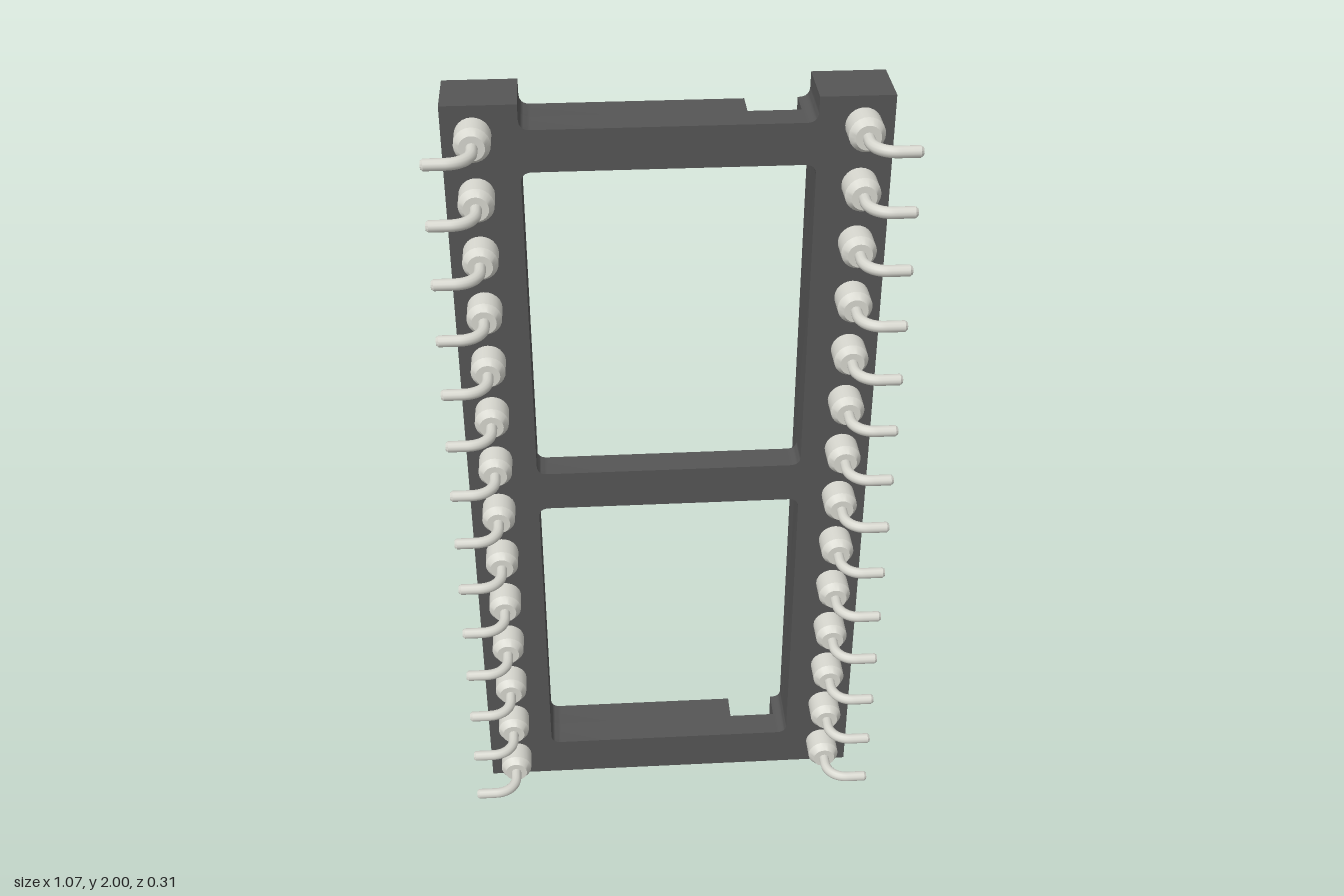
import * as THREE from 'three';
import { toCreasedNormals } from 'three/addons/utils/BufferGeometryUtils.js';

const PINS = 14, PIN_X = 0.43, R = 0.026;
const Z_BACK = -0.156, Z_STEP = -0.083, Z_FRONT = -0.008;
const pinY = (i) => 0.072 + (i * 1.86) / (PINS - 1);

// Closed outline; a point [x, y, r] has its corner rounded by r
function outline(pts, Type = THREE.Shape) {
  const s = new Type();
  const v = pts.map((p) => new THREE.Vector2(p[0], p[1]));
  const n = pts.length;
  v.forEach((p, i) => {
    const r = pts[i][2] || 0;
    const toward = (q) => q.clone().sub(p).setLength(r).add(p);
    const a = r ? toward(v[(i + n - 1) % n]) : p;
    if (i === 0) s.moveTo(a.x, a.y);
    else s.lineTo(a.x, a.y);
    if (r) {
      const b = toward(v[(i + 1) % n]);
      s.quadraticCurveTo(p.x, p.y, b.x, b.y);
    }
  });
  s.closePath();
  return s;
}

function slab(shape, z0, z1) {
  const g = new THREE.ExtrudeGeometry(shape, { depth: z1 - z0, bevelEnabled: false, curveSegments: 8 });
  g.translate(0, 0, z0);
  return toCreasedNormals(g, 0.5);
}

function windowHole(y0, y1) {
  return outline([[-0.33, y0, R], [-0.33, y1, R], [0.33, y1, R], [0.33, y0, R]], THREE.Path);
}

// Round openings for the sockets along one rail
function addSocketHoles(shape, x) {
  for (let i = 0; i < PINS; i++) {
    const h = new THREE.Path();
    h.absarc(x, pinY(i), 0.045, 0, Math.PI * 2, true);
    shape.holes.push(h);
  }
  return shape;
}

export function createModel() {
  const model = new THREE.Group();
  const bodyMat = new THREE.MeshStandardMaterial({ color: 0x555555 });
  const pinMat = new THREE.MeshStandardMaterial({ color: 0xd6d6ce });

  const add = (parent, name, geo, mat) => {
    const m = new THREE.Mesh(geo, mat);
    m.name = name;
    parent.add(m);
    return m;
  };

  // Front half of the frame, with all three cross bars
  const body = new THREE.Group();
  body.name = 'frame';
  model.add(body);
  const front = outline([
    [-0.5, 0], [0.5, 0], [0.5, 2], [0.33, 2], [0.33, 1.94, R],
    [-0.33, 1.94, R], [-0.33, 2], [-0.5, 2],
  ]);
  front.holes.push(windowHole(0.11, 0.92), windowHole(1.025, 1.84));
  add(body, 'frameFront', slab(front, Z_STEP, Z_FRONT), bodyMat);

  // Back half: right rail carrying the raised parts of the end bars
  const right = outline([
    [-0.5, 0], [-0.33, 0], [-0.33, 0.05], [0.18, 0.05], [0.18, 0.11], [-0.33, 0.11, R],
    [-0.33, 1.84, R], [0.18, 1.84], [0.18, 1.94], [-0.33, 1.94, R], [-0.33, 2], [-0.5, 2],
  ]);
  add(body, 'rightRailBack', slab(addSocketHoles(right, -PIN_X), Z_BACK, Z_STEP), bodyMat);

  // Back half: left rail with short stubs beside the notches
  const left = outline([
    [0.5, 0], [0.5, 2], [0.33, 2], [0.33, 1.94, R], [0.302, 1.94], [0.302, 1.84], [0.33, 1.84, R],
    [0.33, 0.11, R], [0.302, 0.11], [0.302, 0.05], [0.33, 0.05], [0.33, 0],
  ]);
  add(body, 'leftRailBack', slab(addSocketHoles(left, PIN_X), Z_BACK, Z_STEP), bodyMat);

  // Socket: funnel and rim at the back, chamfered collar at the front
  const profile = [
    [0, -0.088], [0.018, -0.088], [0.018, -0.118], [0.038, -0.159], [0.048, -0.159],
    [0.048, -0.15], [0.041, -0.15], [0.041, 0.046], [0.029, 0.065], [0, 0.065],
  ].map(([r, z]) => new THREE.Vector2(r, z));
  const socketGeo = toCreasedNormals(new THREE.LatheGeometry(profile, 24).rotateX(Math.PI / 2), 0.45);

  // Lead: straight out of the collar, then bent sideways
  const P = (x, z) => new THREE.Vector3(x, 0, z);
  const path = new THREE.CurvePath();
  path.add(new THREE.LineCurve3(P(0, 0.055), P(0, 0.085)));
  path.add(new THREE.CubicBezierCurve3(P(0, 0.085), P(0, 0.117), P(0.023, 0.14), P(0.055, 0.14)));
  path.add(new THREE.LineCurve3(P(0.055, 0.14), P(0.1, 0.14)));
  const leadGeo = new THREE.TubeGeometry(path, 24, 0.0135, 12, false);
  const tipGeo = toCreasedNormals(
    new THREE.CylinderGeometry(0.009, 0.0135, 0.006, 12).rotateZ(-Math.PI / 2).translate(0.103, 0, 0.14), 0.5);

  for (const side of [1, -1]) {
    for (let i = 0; i < PINS; i++) {
      const pin = new THREE.Group();
      pin.name = (side > 0 ? 'leftPin' : 'rightPin') + (i + 1);
      pin.position.set(side * PIN_X, pinY(i), 0);
      if (side < 0) pin.rotation.z = Math.PI;
      add(pin, 'socket', socketGeo, pinMat);
      add(pin, 'lead', leadGeo, pinMat);
      add(pin, 'leadTip', tipGeo, pinMat);
      model.add(pin);
    }
  }
  return model;
}
